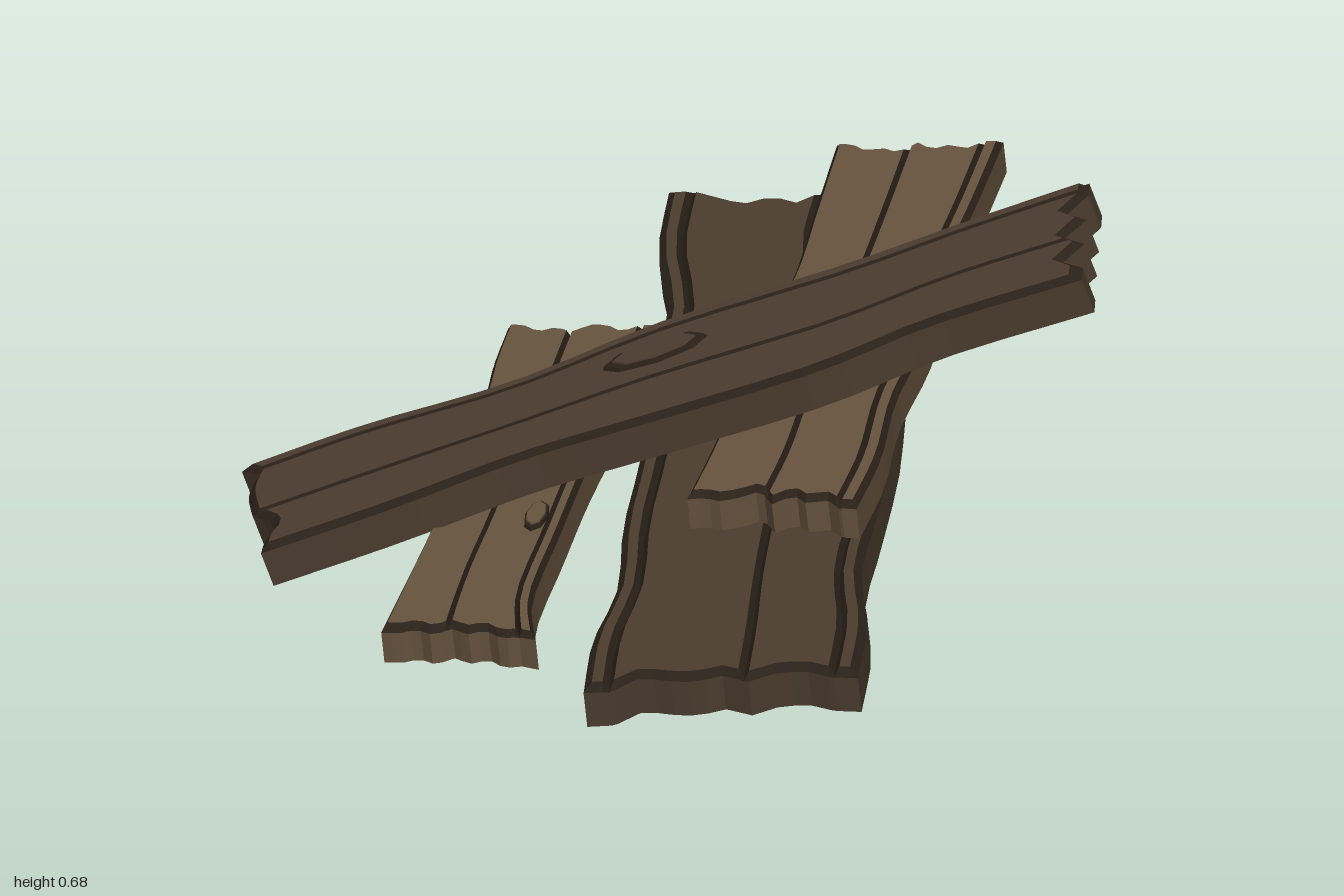
import * as THREE from 'three';

const DARK = 0x2a2119;

// Smooth curve through [x, z] points
const edgeCurve = pts => new THREE.CatmullRomCurve3(pts.map(([x, z]) => new THREE.Vector3(x, 0, z)));

// Linear lookup in evenly spaced values, t from 0 to 1
function sample(values, t) {
  const f = t * (values.length - 1);
  const i = Math.min(Math.floor(f), values.length - 2);
  return values[i] + (values[i + 1] - values[i]) * (f - i);
}

function facetedMesh(name, positions, color) {
  const geometry = new THREE.BufferGeometry();
  geometry.setAttribute('position', new THREE.Float32BufferAttribute(positions, 3));
  geometry.computeVertexNormals();
  const mesh = new THREE.Mesh(geometry, new THREE.MeshStandardMaterial({ color, flatShading: true }));
  mesh.name = name;
  return mesh;
}

// A board lying on the sloped plane y = base + sx * x + sz * z
function plank({ name, color, left, right, startTear, endTear, base, sx, sz, thick, grooves, knots = [] }) {
  const group = new THREE.Group();
  group.name = name;
  const normal = new THREE.Vector3(-sx, 1, -sz).normalize();
  const L = edgeCurve(left), R = edgeCurve(right);
  const bevel = 0.014, bevelU = 0.03, grooveU = 0.02;

  const onPlane = (x, z, h) => {
    const px = x - normal.x * thick / 2, pz = z - normal.z * thick / 2;
    return new THREE.Vector3(px, base + sx * px + sz * pz, pz).addScaledVector(normal, h);
  };

  // Columns across the board: plain ones, bevelled edges and V grooves
  const columns = [{ u: 0, drop: bevel }, { u: bevelU, drop: 0 }, { u: 1 - bevelU, drop: 0 }, { u: 1, drop: bevel }];
  for (let i = 1; i < 16; i++) {
    const u = i / 16;
    if (u > bevelU && u < 1 - bevelU && grooves.every(g => Math.abs(g - u) > grooveU + 0.005)) columns.push({ u, drop: 0 });
  }
  for (const g of grooves) {
    columns.push({ u: g - grooveU, drop: 0 }, { u: g, drop: 0.016, groove: true }, { u: g + grooveU, drop: 0 });
  }
  columns.sort((a, b) => a.u - b.u);

  // Rows along the board, with a narrow bevel at each end
  const rows = [0, 0.012];
  for (let i = 1; i < 20; i++) rows.push(i / 20);
  rows.push(0.988, 1);
  const last = rows.length - 1, side = columns.length - 1;

  const point = (i, j, top) => {
    const { u, drop } = columns[i], v = rows[j];
    const a = L.getPoint(v), b = R.getPoint(v);
    const along = L.getTangent(v).add(R.getTangent(v)).normalize();
    const shift = sample(startTear, u) * Math.max(0, 1 - v * 5) + sample(endTear, u) * Math.max(0, v * 5 - 4);
    const p = a.lerp(b, u).addScaledVector(along, shift);
    const fall = j === 0 || j === last ? Math.max(bevel, drop) : drop;
    return onPlane(p.x, p.z, top ? thick - fall : 0);
  };

  const wood = [], grain = [];
  const quad = (out, a, b, c, d) => { for (const p of [a, b, c, a, c, d]) out.push(p.x, p.y, p.z); };
  for (let j = 0; j < last; j++) {
    for (let i = 0; i < side; i++) {
      const isGrain = j === 0 || j === last - 1 || i === 0 || i === side - 1 || columns[i].groove || columns[i + 1].groove;
      quad(isGrain ? grain : wood, point(i, j, true), point(i + 1, j, true), point(i + 1, j + 1, true), point(i, j + 1, true));
      quad(wood, point(i, j, false), point(i, j + 1, false), point(i + 1, j + 1, false), point(i + 1, j, false));
    }
    quad(wood, point(0, j + 1, false), point(0, j, false), point(0, j, true), point(0, j + 1, true));
    quad(wood, point(side, j, false), point(side, j + 1, false), point(side, j + 1, true), point(side, j, true));
  }
  for (let i = 0; i < side; i++) {
    quad(wood, point(i, 0, false), point(i + 1, 0, false), point(i + 1, 0, true), point(i, 0, true));
    quad(wood, point(i + 1, last, false), point(i, last, false), point(i, last, true), point(i + 1, last, true));
  }
  group.add(facetedMesh(name + 'Wood', wood, color), facetedMesh(name + 'Grain', grain, DARK));

  // Raised knots: a dark rim around a wooden core
  for (const { x, z, dx, dz, length, width } of knots) {
    const axis = new THREE.Vector3(dx, sx * dx + sz * dz, dz).normalize();
    const across = new THREE.Vector3().crossVectors(axis, normal);
    const knot = new THREE.Group();
    knot.name = 'knot';
    [[1, 0.008, DARK], [0.82, 0.012, color]].forEach(([size, height, tint], k) => {
      const mesh = new THREE.Mesh(
        new THREE.CylinderGeometry(size * 0.9, size, height * 2, 8),
        new THREE.MeshStandardMaterial({ color: tint, flatShading: true }));
      mesh.scale.set(length, 1, width);
      mesh.name = k ? 'knotCore' : 'knotRim';
      knot.add(mesh);
    });
    knot.quaternion.setFromRotationMatrix(new THREE.Matrix4().makeBasis(axis, normal, across));
    knot.position.copy(onPlane(x, z, thick));
    group.add(knot);
  }
  return group;
}

export function createModel() {
  const model = new THREE.Group();
  model.name = 'plankPile';

  model.add(
    plank({
      name: 'widePlank', color: 0x4b3d2f,
      left: [[-0.08, 1], [-0.08, 0.8], [-0.05, 0.6], [-0.06, 0.35], [-0.05, 0.05], [-0.06, -0.25], [-0.05, -0.5], [-0.09, -0.75], [-0.09, -0.98]],
      right: [[0.46, 0.99], [0.46, 0.78], [0.43, 0.58], [0.44, 0.35], [0.45, 0.05], [0.44, -0.25], [0.45, -0.5], [0.42, -0.75], [0.44, -0.96]],
      startTear: [0, 0, 0.05, 0.03, 0.02, 0.04, 0.01, 0.04, 0.04, 0.01, 0],
      endTear: [0, 0, -0.03, -0.06, -0.03, -0.06, -0.01, -0.05, -0.02, -0.04, 0],
      base: 0.14, sx: 0.09, sz: -0.097, thick: 0.09, grooves: [0.09, 0.58, 0.91]
    }),
    plank({
      name: 'upperPlank', color: 0x66533e,
      left: [[0.07, 0.4], [0.1, 0.22], [0.13, 0], [0.15, -0.2], [0.2, -0.45], [0.22, -0.72], [0.24, -0.99]],
      right: [[0.41, 0.47], [0.44, 0.28], [0.45, 0.05], [0.49, -0.2], [0.5, -0.45], [0.54, -0.73], [0.57, -0.97]],
      startTear: [0, 0.01, 0, 0.02, 0.05, 0, 0.04, 0.01, 0.03, 0, 0],
      endTear: [0, 0, -0.03, -0.02, -0.04, 0, -0.03, -0.01, -0.03, 0, 0],
      base: 0.232, sx: 0.09, sz: -0.095, thick: 0.08, grooves: [0.45, 0.89],
      knots: [{ x: 0.39, z: -0.28, dx: 0.1, dz: -1, length: 0.085, width: 0.03 }]
    }),
    plank({
      name: 'sidePlank', color: 0x66533e,
      left: [[-0.51, 0.66], [-0.47, 0.4], [-0.44, 0.19], [-0.41, -0.08], [-0.39, -0.29], [-0.385, -0.42], [-0.37, -0.57]],
      right: [[-0.2, 0.72], [-0.22, 0.58], [-0.19, 0.29], [-0.16, 0.03], [-0.115, -0.24], [-0.085, -0.4], [-0.07, -0.54]],
      startTear: [0, 0, 0.02, 0, 0.03, 0.01, 0.03, 0, 0.01, 0],
      endTear: [0, 0, -0.03, -0.01, -0.03, 0, 0, -0.03, 0, 0],
      base: 0.105, sx: 0.09, sz: -0.08, thick: 0.08, grooves: [0.43, 0.89],
      knots: [{ x: -0.24, z: 0.24, dx: 0.12, dz: -1, length: 0.06, width: 0.025 }]
    }),
    plank({
      name: 'leaningPlank', color: 0x4b3c2f,
      left: [[-0.84, -0.04], [-0.6, -0.08], [-0.31, -0.09], [-0.02, -0.17], [0.35, -0.2], [0.59, -0.24], [0.81, -0.27]],
      right: [[-0.77, 0.32], [-0.52, 0.285], [-0.26, 0.23], [-0.02, 0.22], [0.32, 0.2], [0.53, 0.14], [0.83, 0.12]],
      startTear: [0, 0.03, 0.01, 0, 0, 0, 0.03, 0.04, 0.01, 0],
      endTear: [0, 0, -0.04, 0, -0.04, 0, -0.04, 0, 0],
      base: 0.297, sx: 0.34, sz: -0.1, thick: 0.09, grooves: [0.11, 0.58],
      knots: [{ x: -0.02, z: -0.035, dx: 1, dz: -0.12, length: 0.115, width: 0.045 }]
    }));
  return model;
}
